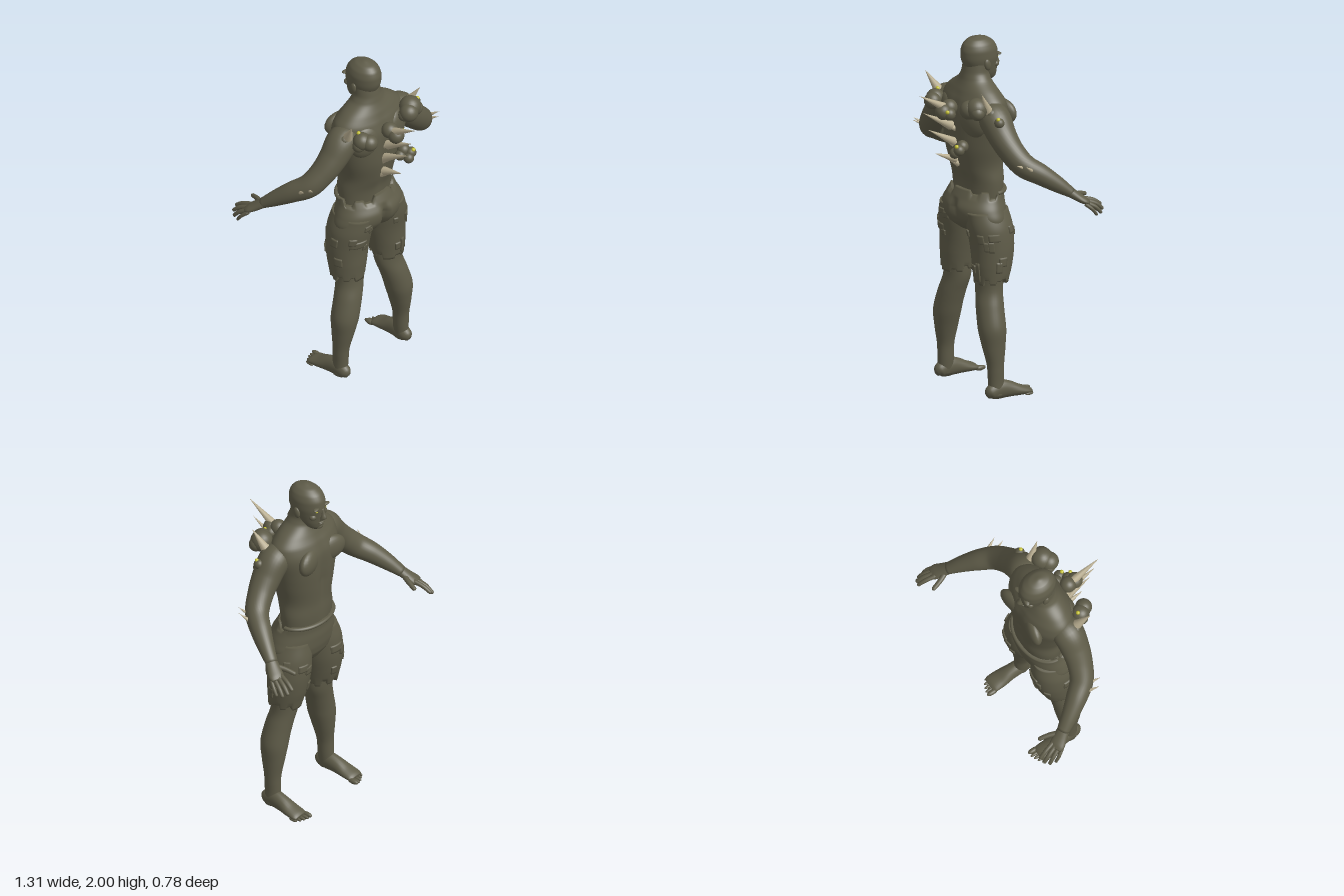
import * as THREE from 'three';

const V = (x, y, z) => new THREE.Vector3(x, y, z);
const Y = V(0, 1, 0);

// Smooth surface through rows [x, y, z, a, b]; level = horizontal rings (rows go upward, sin > 0 is -z).
function surface(rows, { level = false, shape = null } = {}) {
  const path = new THREE.CatmullRomCurve3(rows.map(r => V(r[0], r[1], r[2])));
  const size = new THREE.CatmullRomCurve3(rows.map(r => V(r[3], r[4], 0)));
  return (along, angle, offset = 0, scale = 1) => {
    const t = Math.min(1, Math.max(0, along));
    const c = path.getPoint(t), r = size.getPoint(t);
    const T = level ? Y : path.getTangent(t);
    const u = level ? V(1, 0, 0) : V(0, 1, 0).cross(T).normalize();
    const v = T.clone().cross(u);
    c.addScaledVector(u, (r.x + offset) * Math.cos(angle) * scale);
    c.addScaledVector(v, (r.y + offset) * Math.sin(angle) * scale);
    if (shape) shape(c, t, angle);
    return c;
  };
}

// Closed skin over a surface, with a flat cap at each end.
function skin(point, rings = 32, sides = 32) {
  const pos = [], index = [];
  for (let i = -1; i <= rings + 1; i++) {
    const scale = i < 0 || i > rings ? 0.001 : 1;
    for (let j = 0; j < sides; j++) pos.push(...point(i / rings, j / sides * Math.PI * 2, 0, scale).toArray());
  }
  for (let i = 0; i < rings + 2; i++) for (let j = 0; j < sides; j++) {
    const k = (j + 1) % sides, a = i * sides + j, b = i * sides + k;
    index.push(a, b, a + sides, b, b + sides, a + sides);
  }
  return finish(pos, index);
}

function finish(pos, index) {
  const g = new THREE.BufferGeometry();
  g.setAttribute('position', new THREE.Float32BufferAttribute(pos, 3));
  g.setIndex(index);
  g.computeVertexNormals();
  return g;
}

// Raised cloth rectangle that follows a surface; its border sinks into the cloth.
function patchGeometry(point, t, angle, h, w) {
  const pos = [], index = [], n = 8;
  for (let i = 0; i <= n; i++) for (let j = 0; j <= n; j++) {
    const edge = i === 0 || j === 0 || i === n || j === n;
    const f = k => Math.min(1, Math.max(0, (k - 1) / (n - 2))) - 0.5;
    pos.push(...point(t + f(i) * h, angle + f(j) * w, edge ? -0.003 : 0.007).toArray());
  }
  for (let i = 0; i < n; i++) for (let j = 0; j < n; j++) {
    const a = i * (n + 1) + j, b = a + n + 1;
    index.push(a, a + 1, b, a + 1, b + 1, b);
  }
  return finish(pos, index);
}

export function createModel() {
  const model = new THREE.Group();
  const olive = new THREE.MeshStandardMaterial({ color: 0x5e5b48 });
  const bone = new THREE.MeshStandardMaterial({ color: 0xb8ad90 });
  const yellow = new THREE.MeshStandardMaterial({ color: 0xc4c032 });
  olive.name = 'olive skin and cloth';
  bone.name = 'pale bone';
  yellow.name = 'yellow';

  const add = (name, geometry, material = olive) => {
    const m = new THREE.Mesh(geometry, material);
    m.name = name;
    model.add(m);
    return m;
  };
  const limb = (name, rows, opts, rings, sides) => add(name, skin(surface(rows, opts), rings, sides));
  const ball = (name, p, r, material = olive) => {
    const m = add(name, new THREE.SphereGeometry(1, 24, 16), material);
    m.position.set(...p);
    if (Array.isArray(r)) m.scale.set(...r); else m.scale.setScalar(r);
    return m;
  };
  const spike = (name, base, tip, r) => {
    const a = V(...base), d = V(...tip).sub(a), len = d.length();
    const m = add(name, new THREE.ConeGeometry(r, len, 14).translate(0, len / 2, 0), bone);
    m.position.copy(a);
    m.quaternion.setFromUnitVectors(Y, d.normalize());
  };

  // Torso and neck, with a groove along the spine and the chest
  limb('torso', [
    [0, 1.06, 0, 0.165, 0.105], [0, 1.2, -0.003, 0.172, 0.117], [0, 1.29, 0.01, 0.165, 0.132],
    [0, 1.4, 0.018, 0.188, 0.148], [0, 1.5, 0.018, 0.21, 0.152], [0, 1.6, 0.018, 0.232, 0.148],
    [0, 1.67, 0.02, 0.222, 0.125], [0, 1.72, 0.022, 0.172, 0.1], [0, 1.77, 0.02, 0.1, 0.08],
    [0, 1.81, 0.015, 0.078, 0.074], [0, 1.87, 0.005, 0.074, 0.072]], {
    level: true,
    shape: p => {
      const fade = Math.max(0, 1 - Math.abs(p.y - 1.42) / 0.3);
      p.z -= Math.sign(p.z) * fade * 0.022 * Math.exp(-((p.x / 0.03) ** 2));
    }
  }, 56, 64);

  // Head and face
  limb('head', [
    [0, 1.748, -0.062, 0.028, 0.032], [0, 1.765, -0.055, 0.048, 0.053], [0, 1.795, -0.035, 0.064, 0.08],
    [0, 1.84, -0.018, 0.076, 0.1], [0, 1.885, -0.011, 0.083, 0.109], [0, 1.925, -0.008, 0.082, 0.107],
    [0, 1.962, -0.004, 0.069, 0.09], [0, 1.987, 0, 0.044, 0.058], [0, 2, 0, 0.008, 0.01]], { level: true }, 40, 40);
  limb('nose', [[0, 1.818, -0.115, 0.021, 0.017], [0, 1.83, -0.123, 0.018, 0.019],
    [0, 1.855, -0.118, 0.011, 0.014], [0, 1.885, -0.113, 0.009, 0.008]], { level: true }, 12, 16);
  ball('upperLip', [0, 1.799, -0.109], [0.026, 0.006, 0.012]);
  ball('lowerLip', [0, 1.788, -0.106], [0.023, 0.007, 0.012]);
  ball('chin', [0, 1.766, -0.094], [0.026, 0.018, 0.018]);

  // Shorts: seat, waistband and jagged edges
  const jag = (angle, k) => [0, 0.5, 0.1, 1, 0.3, 0.8, 0][Math.floor((angle / (Math.PI * 2) * 17 + k) % 7)];
  limb('shortsSeat', [
    [0, 0.9, 0, 0.1, 0.07], [0, 0.955, 0.015, 0.215, 0.12], [0, 1.005, 0.024, 0.23, 0.14],
    [0, 1.06, 0.025, 0.212, 0.145], [0, 1.11, 0.014, 0.19, 0.132], [0, 1.16, 0, 0.179, 0.121]], {
    level: true,
    shape: (p, t, angle) => {
      if (p.z > 0.05) p.z -= 0.035 * Math.exp(-((p.x / 0.022) ** 2)) * Math.max(0, Math.min(1, (1.11 - p.y) / 0.06));
      if (t > 0.8 && Math.sin(angle) < 0.2) p.y -= (t - 0.8) / 0.2 * 0.04 * jag(angle, 1);
    }
  }, 32, 96);
  const band = Array.from({ length: 25 }, (_, i) => {
    const a = i / 24 * Math.PI;
    return V(0.182 * Math.cos(a), 1.15, -0.123 * Math.sin(a));
  });
  add('waistband', new THREE.TubeGeometry(new THREE.CatmullRomCurve3(band), 48, 0.011, 8));

  // Patches: [angle in degrees, y, angular width, height]
  const patches = {
    '1': [[255, 0.93, 0.22, 0.035], [300, 0.91, 0.3, 0.05], [312, 0.87, 0.22, 0.05], [262, 0.73, 0.3, 0.045],
      [280, 0.72, 0.22, 0.1], [335, 0.92, 0.5, 0.04], [325, 0.87, 0.25, 0.06], [355, 0.78, 0.4, 0.05],
      [345, 0.75, 0.3, 0.06], [30, 0.95, 0.3, 0.04], [75, 0.92, 0.5, 0.04], [95, 0.895, 0.4, 0.04], [110, 0.78, 0.3, 0.05]],
    '-1': [[270, 1.0, 0.4, 0.03], [285, 0.98, 0.3, 0.035], [250, 0.9, 0.8, 0.04], [232, 0.925, 0.35, 0.04],
      [272, 0.87, 0.25, 0.03], [185, 0.9, 0.35, 0.05], [200, 0.78, 0.4, 0.05], [85, 0.91, 0.7, 0.045],
      [105, 0.88, 0.35, 0.05], [130, 0.8, 0.3, 0.04], [75, 0.76, 0.3, 0.05]]
  };

  for (const s of [1, -1]) {
    const side = s > 0 ? 'left' : 'right';
    const mirror = rows => rows.map(([x, ...rest]) => [x * s, ...rest]);
    const part = (name, rows, opts, rings, sides) => limb(side + name, mirror(rows), opts, rings, sides);

    // Face pairs, chest and back muscles
    ball(side + 'Ear', [s * 0.084, 1.855, -0.005], [0.012, 0.032, 0.02]).rotation.x = 0.2;
    ball(side + 'Brow', [s * 0.034, 1.892, -0.1], [0.032, 0.009, 0.016]).rotation.y = s * 0.35;
    ball(side + 'Cheek', [s * 0.045, 1.838, -0.085], [0.022, 0.018, 0.02]);
    ball(side + 'Eye', [s * 0.033, 1.874, -0.105], [0.011, 0.006, 0.006], yellow);
    ball(side + 'Chest', [s * 0.088, 1.575, -0.095], [0.1, 0.075, 0.042]).rotation.y = s * 0.25;
    ball(side + 'ShoulderBlade', [s * 0.115, 1.57, 0.115], [0.09, 0.1, 0.045]).rotation.y = s * 0.3;

    // Shorts leg
    const cloth = surface(mirror([
      [0.15, 0.65, 0.02, 0.097, 0.092], [0.145, 0.75, 0.01, 0.108, 0.111], [0.137, 0.85, 0.005, 0.117, 0.122],
      [0.128, 0.95, 0.013, 0.117, 0.13], [0.115, 1.05, 0.025, 0.095, 0.125]]), {
      level: true,
      shape: (p, t, angle) => { if (t < 0.12) p.y += (0.12 - t) / 0.12 * (0.035 * jag(angle, s + 2) - 0.008); }
    });
    add(side + 'ShortsLeg', skin(cloth, 36, 96));
    for (const [deg, y, w, h] of patches[s])
      add(side + 'ShortsPatch', patchGeometry(cloth, (y - 0.65) / 0.4, deg * Math.PI / 180, h / 0.4, w));

    // Lower leg
    part('LowerLeg', [
      [0.233, 0.02, 0.045, 0.036, 0.045], [0.228, 0.1, 0.045, 0.039, 0.046], [0.226, 0.19, 0.047, 0.043, 0.048],
      [0.215, 0.3, 0.051, 0.06, 0.066], [0.2, 0.41, 0.053, 0.079, 0.077], [0.17, 0.52, 0.044, 0.08, 0.075],
      [0.145, 0.61, 0.03, 0.082, 0.071], [0.146, 0.74, 0.022, 0.086, 0.078]], { level: true }, 40, 32);

    // Foot and toes
    part('Foot', [
      [0.23, 0.03, 0.105, 0.015, 0.018], [0.231, 0.042, 0.085, 0.034, 0.04], [0.232, 0.054, 0.03, 0.039, 0.054],
      [0.235, 0.046, -0.03, 0.042, 0.046], [0.238, 0.031, -0.09, 0.05, 0.031],
      [0.239, 0.021, -0.14, 0.051, 0.021], [0.239, 0.016, -0.158, 0.044, 0.013]], {}, 28, 24);
    for (let i = 0; i < 5; i++) {
      const r = i === 0 ? 0.0145 : 0.0105 - i * 0.0005;
      ball(side + 'Toe', [s * (0.2 + i * 0.0205), r, -0.167 + i * i * 0.0018], [r, r, 0.034 - i * 0.002]);
    }

    // Arm
    part('Arm', [
      [0.14, 1.62, 0.035, 0.065, 0.06], [0.215, 1.592, 0.045, 0.088, 0.086], [0.285, 1.515, 0.045, 0.08, 0.077],
      [0.35, 1.445, 0.033, 0.071, 0.07], [0.42, 1.375, 0, 0.065, 0.066], [0.475, 1.325, -0.07, 0.058, 0.058],
      [0.525, 1.265, -0.15, 0.045, 0.044], [0.56, 1.215, -0.215, 0.034, 0.028]], {}, 44, 32);

    // Hand and fingers
    part('Palm', [
      [0.555, 1.222, -0.205, 0.034, 0.028], [0.575, 1.195, -0.24, 0.039, 0.024],
      [0.594, 1.172, -0.273, 0.043, 0.02], [0.604, 1.16, -0.295, 0.036, 0.013]], {}, 16, 24);
    const fingers = [
      [[0.573, 1.175, -0.285], [0.587, 1.155, -0.345], [0.597, 1.125, -0.388]],
      [[0.594, 1.168, -0.285], [0.613, 1.142, -0.342], [0.624, 1.107, -0.38]],
      [[0.612, 1.16, -0.277], [0.632, 1.13, -0.325], [0.642, 1.093, -0.357]],
      [[0.624, 1.157, -0.263], [0.643, 1.127, -0.295], [0.65, 1.09, -0.322]],
      [[0.553, 1.2, -0.235], [0.531, 1.19, -0.285], [0.514, 1.173, -0.345]]];
    fingers.forEach(([a, b, c], i) => {
      const r = [0.012, 0.0125, 0.012, 0.01, 0.014][i];
      const end = V(...b).lerp(V(...c), 0.88).toArray();
      part(i === 4 ? 'Thumb' : 'Finger', [[...a, r * 1.1, r * 1.1], [...b, r, r], [...end, r * 0.85, r * 0.8], [...c, 0.003, 0.003]], {}, 14, 12);
    });

    // Elbow and shoulder spikes
    spike(side + 'ElbowSpike', [s * 0.452, 1.37, 0.015], [s * 0.474, 1.405, 0.087], 0.014);
    spike(side + 'ElbowSpike', [s * 0.482, 1.355, -0.015], [s * 0.513, 1.403, 0.055], 0.014);
    ball(side + 'SpikeBump', [s * 0.235, 1.63, 0.08], 0.035);
    spike(side + 'ShoulderSpike', [s * 0.222, 1.64, 0.09], [s * 0.258, 1.768, 0.163], 0.03);
  }

  // Growths on the back
  [[-0.175, 1.63, 0.155, 0.05], [-0.152, 1.625, 0.19, 0.046], [-0.195, 1.605, 0.15, 0.035],
    [0.16, 1.655, 0.175, 0.052], [0.195, 1.665, 0.15, 0.06], [0.222, 1.65, 0.165, 0.04], [0.14, 1.64, 0.16, 0.035],
    [0.305, 1.6, 0.08, 0.028], [0.005, 1.615, 0.235, 0.045], [0.035, 1.605, 0.215, 0.035], [0, 1.63, 0.19, 0.045],
    [0.08, 1.415, 0.19, 0.03], [0.105, 1.405, 0.23, 0.03], [0.13, 1.425, 0.22, 0.031], [0.11, 1.435, 0.185, 0.035]
  ].forEach(([x, y, z, r]) => ball('growth', [x, y, z], r));
  [[-0.18, 1.677, 0.135], [0.053, 1.625, 0.24], [0.31, 1.623, 0.09], [0.133, 1.45, 0.238]]
    .forEach(p => ball('pustule', p, 0.011, yellow));

  // Spikes along the spine: [base y, base z, tip y, tip z, radius]
  [[1.64, 0.23, 1.735, 0.39, 0.026], [1.535, 0.2, 1.632, 0.365, 0.026],
    [1.43, 0.165, 1.532, 0.335, 0.026], [1.34, 0.17, 1.385, 0.285, 0.024]]
    .forEach(([y, z, ty, tz, r]) => {
      spike('spineSpike', [0, y - 0.01, z - 0.02], [0, ty, tz], r);
      spike('spineSpikeRoot', [0, y - 0.04, 0.13], [0, y + 0.005, z + 0.04], 0.02);
    });
  return model;
}
